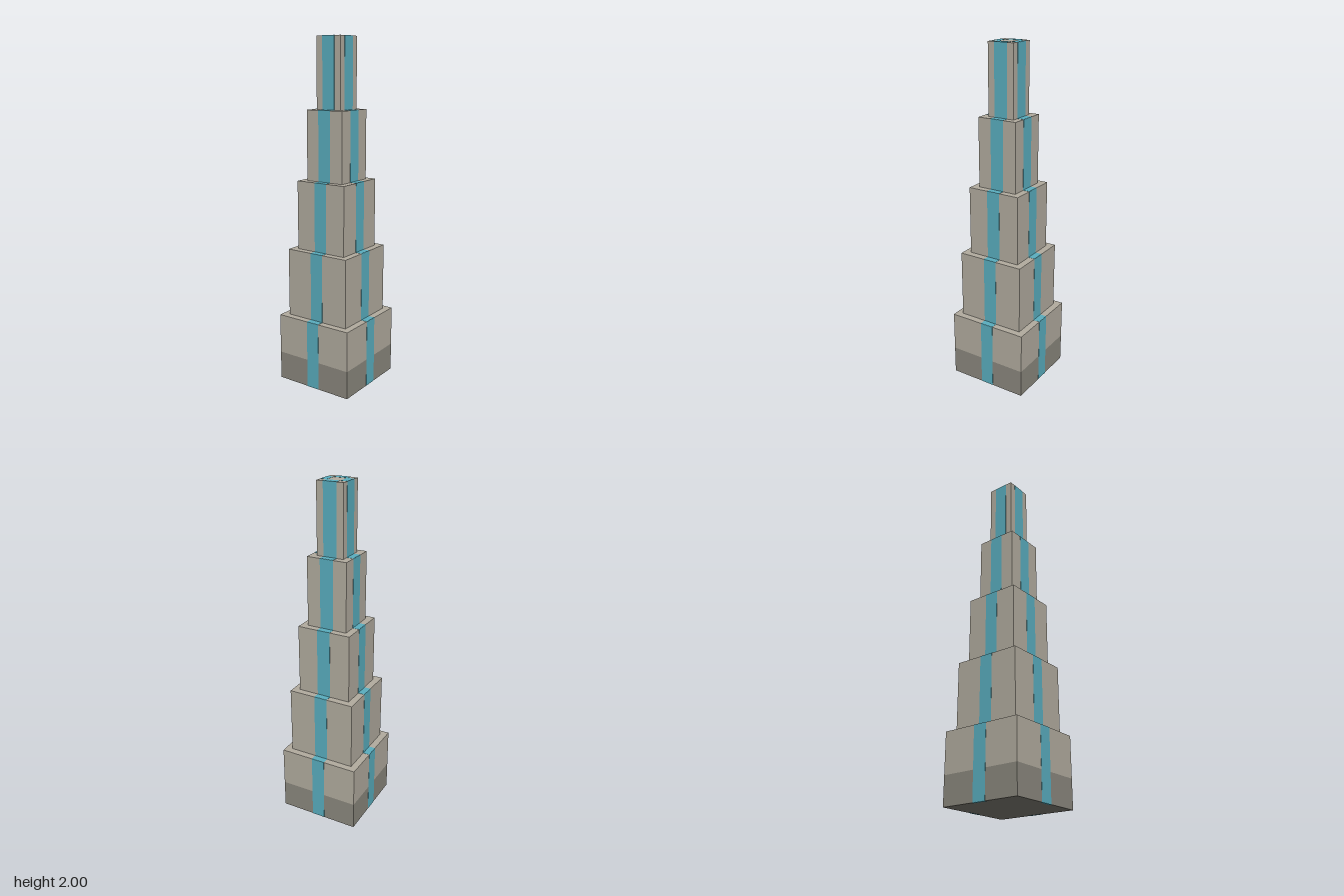
import * as THREE from 'three';

const stone = new THREE.MeshStandardMaterial({ name: 'stone', color: 0xb3ada0 });
const darkStone = new THREE.MeshStandardMaterial({ name: 'darkStone', color: 0x8b887e });
const blue = new THREE.MeshStandardMaterial({ name: 'blue', color: 0x5aafc0 });

const TIERS = 5, HEIGHT = 0.4, STEP = 0.04, BASE = 0.165, STRIPE = 0.08;
const THICK = 0.002; // stripe plates straddle the wall, half of this stands proud

function box(parent, name, material, size, position) {
  const mesh = new THREE.Mesh(new THREE.BoxGeometry(...size), material);
  mesh.name = name;
  mesh.position.set(...position);
  parent.add(mesh);
}

export function createModel() {
  const tower = new THREE.Group();
  tower.name = 'steppedTower';

  // Dark plinth: lower part of the first tier
  const baseWidth = 0.48;
  box(tower, 'plinth', darkStone, [baseWidth, BASE, baseWidth], [0, BASE / 2, 0]);

  for (let i = 0; i < TIERS; i++) {
    const half = 0.24 - i * STEP;
    const bottom = i * HEIGHT, top = bottom + HEIGHT;
    const start = i === 0 ? BASE : bottom;

    // Square stone tier
    box(tower, `tier${i + 1}`, stone, [half * 2, top - start, half * 2], [0, (top + start) / 2, 0]);

    // Blue stripe up each wall and across its ledge
    for (let side = 0; side < 4; side++) {
      const stripe = new THREE.Group();
      stripe.name = `stripe${i + 1}_${side + 1}`;
      stripe.rotation.y = side * Math.PI / 2;
      box(stripe, 'wallStripe', blue, [STRIPE, HEIGHT, THICK], [0, bottom + HEIGHT / 2, half]);
      box(stripe, 'ledgeStripe', blue, [STRIPE, THICK, STEP], [0, top, half - STEP / 2]);
      // Short return under the lowest edge
      if (i === 0) box(stripe, 'footStripe', blue, [STRIPE, THICK, 0.012], [0, 0, half - 0.006]);
      tower.add(stripe);
    }
  }
  return tower;
}
